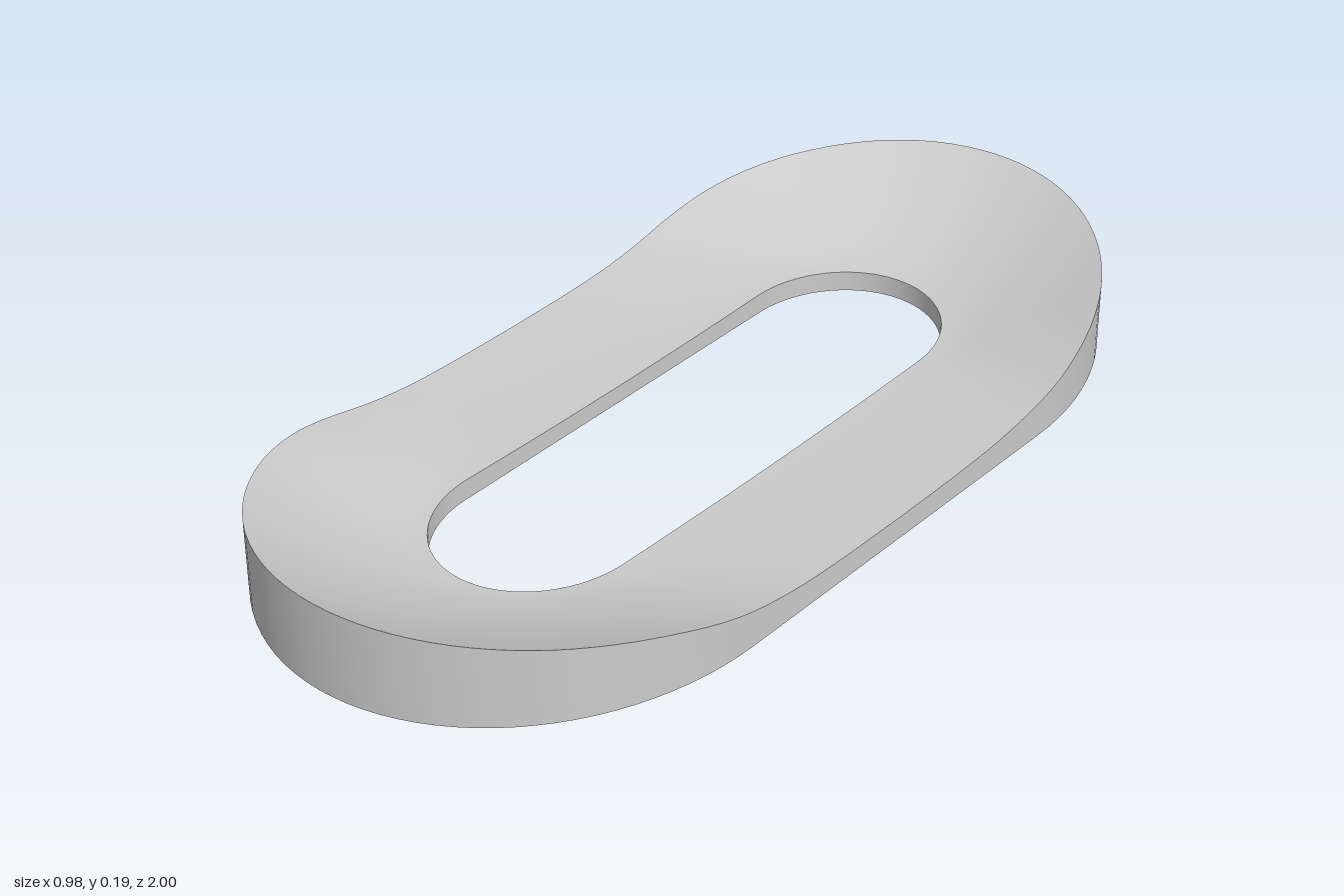
import * as THREE from 'three';

const STRAIGHT = 0.43; // half length of the straight sides
const ARC = 48, SIDE = 24, ACROSS = 16;

// Rim height along the length, read by |z|
const rim = new THREE.CubicInterpolant(
  [0, 0.2, 0.3, 0.4, 0.5, 0.6, 0.7, 0.85, 1],
  [0.047, 0.05, 0.056, 0.07, 0.093, 0.118, 0.138, 0.162, 0.185], 1);
const rimHeight = (z) => rim.evaluate(Math.min(Math.abs(z), 1))[0];

// Closed outline: two half ellipses joined by straight sides
function outline(rx, rz) {
  const pts = [];
  for (const s of [1, -1]) {
    for (let i = 0; i < ARC; i++) {
      const a = (i / ARC) * Math.PI;
      pts.push([s * rx * Math.cos(a), s * (STRAIGHT + rz * Math.sin(a))]);
    }
    for (let i = 0; i < SIDE; i++) {
      pts.push([-s * rx, s * STRAIGHT * (1 - (2 * i) / SIDE)]);
    }
  }
  return pts;
}

// Joins a list of closed rings into one smooth surface
function skin(name, rings, material) {
  const n = rings[0].length;
  const index = [];
  for (let j = 0; j < rings.length - 1; j++) {
    for (let i = 0; i < n; i++) {
      const a = j * n + i, b = j * n + ((i + 1) % n);
      index.push(a, b, a + n, b, b + n, a + n);
    }
  }
  const geometry = new THREE.BufferGeometry();
  geometry.setAttribute('position', new THREE.Float32BufferAttribute(rings.flat(2), 3));
  geometry.setIndex(index);
  geometry.computeVertexNormals();
  const mesh = new THREE.Mesh(geometry, material);
  mesh.name = name;
  return mesh;
}

export function createModel() {
  const group = new THREE.Group();
  group.name = 'saddleRing';
  const material = new THREE.MeshStandardMaterial({ color: 0xcccccc });

  const inner = outline(0.197, 0.225);
  const outer = outline(0.49, 0.57);

  // Dished top: thin at the slot, curving up to the raised ends
  const top = [];
  for (let j = 0; j <= ACROSS; j++) {
    const t = j / ACROSS;
    top.push(inner.map(([ix, iz], i) => {
      const [ox, oz] = outer[i];
      const low = 0.037 + 0.006 * Math.min(1, Math.abs(iz) / STRAIGHT) ** 2;
      const y = low + (rimHeight(oz) - low) * t ** 1.5;
      return [ix + (ox - ix) * t, y, iz + (oz - iz) * t];
    }));
  }
  const floor = (ring) => ring.map(([x, , z]) => [x, 0, z]);
  const innerTop = top[0], outerTop = top[ACROSS];

  group.add(
    skin('dishedTop', top, material),
    skin('outerWall', [outerTop, floor(outerTop)], material),
    skin('flatBase', [floor(outerTop), floor(innerTop)], material),
    skin('slotWall', [floor(innerTop), innerTop], material));
  return group;
}
